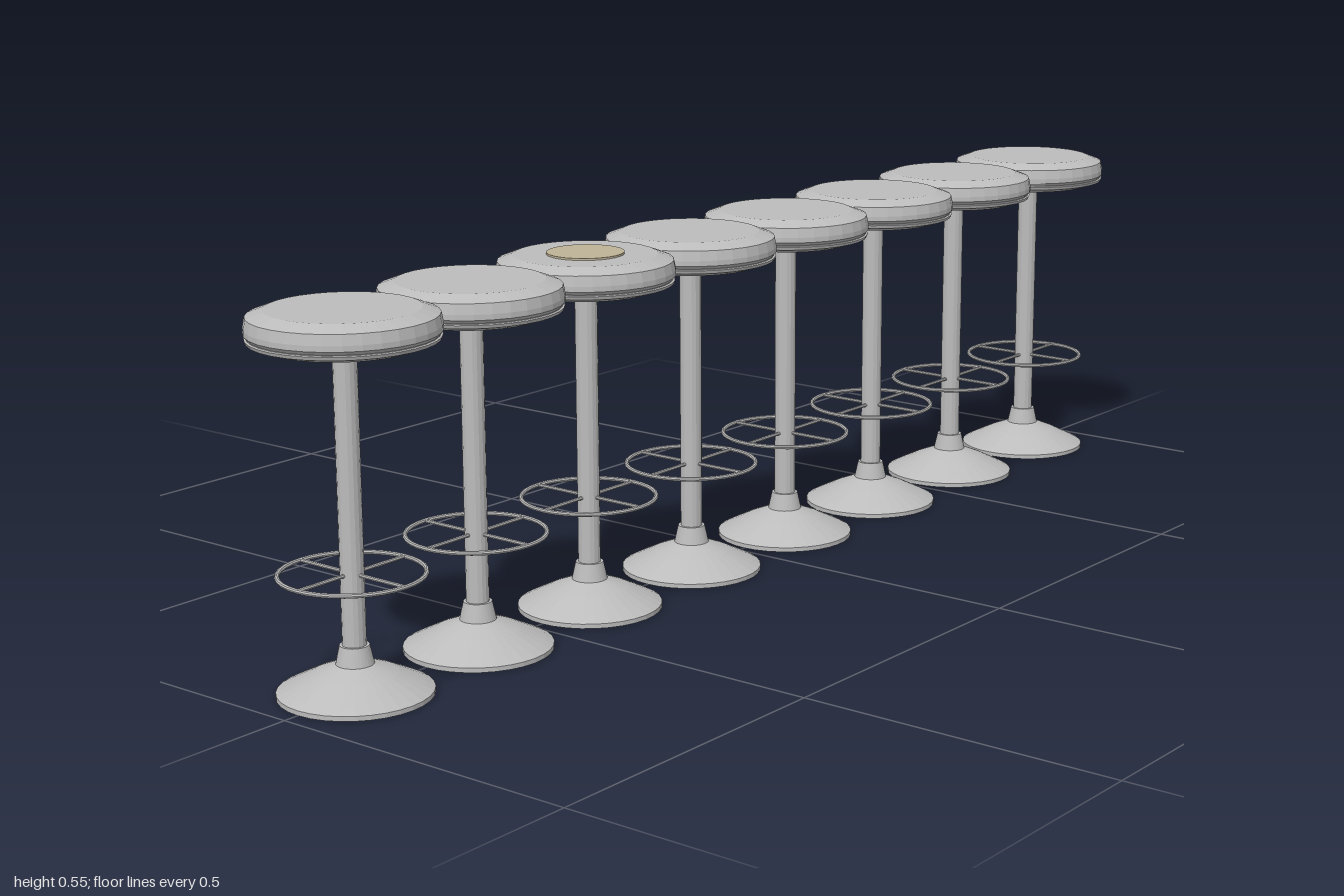
import * as THREE from 'three';

export function createModel() {
  const model = new THREE.Group();
  model.name = 'barStools';

  const grey = new THREE.MeshStandardMaterial({ name: 'brushedGrey', color: 0xbcbcbc });
  const tan = new THREE.MeshStandardMaterial({ name: 'tan', color: 0xbfb498 });
  grey.flatShading = true;

  const COUNT = 8, SIDES = 32, SEAT_R = 0.134;
  const lathe = (pts) =>
    new THREE.LatheGeometry(pts.map(([r, y]) => new THREE.Vector2(r, y)), SIDES);

  // Pedestal foot: flared cone with a short collar
  const baseGeo = lathe([
    [0, 0], [0.11, 0], [0.11, 0.007], [0.097, 0.014], [0.06, 0.032],
    [0.027, 0.045], [0.021, 0.072], [0.016, 0.072],
  ]);
  const postGeo = new THREE.CylinderGeometry(0.017, 0.017, 0.43, 16, 1, true);
  const neckGeo = lathe([[0.016, 0.483], [0.027, 0.495]]);

  // Seat: lower pan, narrow seam and bevelled cushion
  const panGeo = lathe([
    [0, 0.494], [0.106, 0.494], [0.131, 0.502], [0.133, 0.507], [0.13, 0.508], [0.13, 0.514],
  ]);
  const cushionGeo = lathe([
    [0.13, 0.509], [SEAT_R, 0.514], [SEAT_R, 0.522], [0.131, 0.537], [0.107, 0.546], [0, 0.546],
  ]);

  // Footrest ring and spokes
  const ringGeo = new THREE.TorusGeometry(0.102, 0.0035, 8, 36).rotateX(Math.PI / 2);
  const spokeGeo = new THREE.CylinderGeometry(0.003, 0.003, 0.204, 8, 1, true).rotateZ(Math.PI / 2);

  const add = (parent, name, geo, mat, y = 0) => {
    const mesh = new THREE.Mesh(geo, mat);
    mesh.name = name;
    mesh.position.y = y;
    parent.add(mesh);
    return mesh;
  };

  const spacing = (2 - 2 * SEAT_R) / (COUNT - 1);
  for (let i = 0; i < COUNT; i++) {
    const stool = new THREE.Group();
    stool.name = `stool${i + 1}`;
    stool.position.z = 1 - SEAT_R - i * spacing;
    add(stool, 'base', baseGeo, grey);
    add(stool, 'post', postGeo, grey, 0.28);
    add(stool, 'neck', neckGeo, grey);
    add(stool, 'seatPan', panGeo, grey);
    add(stool, 'seatCushion', cushionGeo, grey);
    add(stool, 'footRing', ringGeo, grey, 0.174);
    add(stool, 'spokeAcross', spokeGeo, grey, 0.174);
    add(stool, 'spokeAlong', spokeGeo, grey, 0.174).rotation.y = Math.PI / 2;

    // One stool carries a round inlay on its seat
    if (i === 2) {
      add(stool, 'seatDisc', new THREE.CylinderGeometry(0.058, 0.058, 0.004, SIDES), tan, 0.547);
    }
    model.add(stool);
  }
  return model;
}
